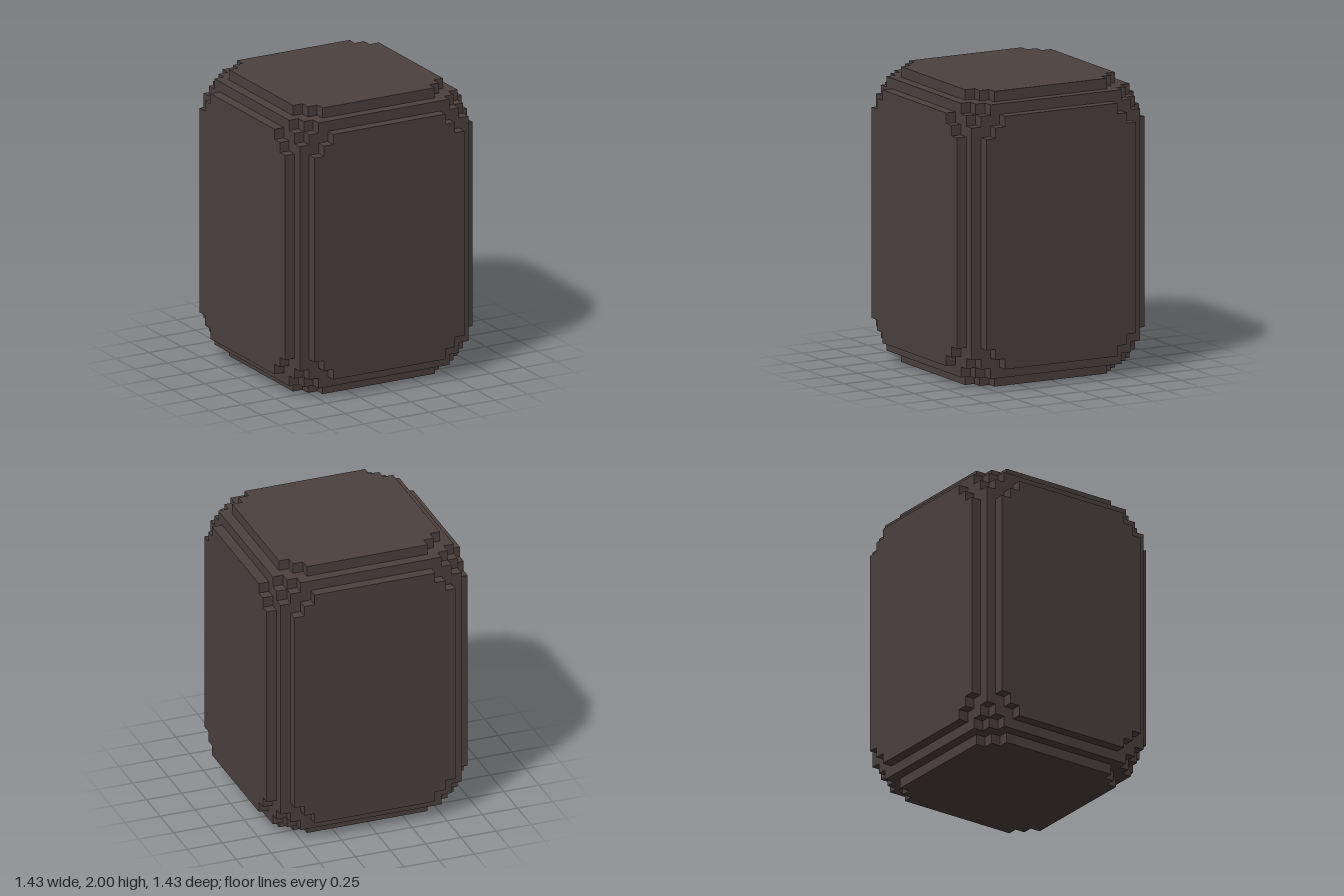
import * as THREE from 'three';

const U = 1 / 14;   // one block
const HALF = 10;    // half width in blocks
const HEIGHT = 28;  // height in blocks

// Stepped corner of each layer, as [inset in x, inset in z] in blocks,
// from the outermost layer inwards.
const CORNERS = [
  [[2, 4], [3, 4], [3, 3], [4, 3], [4, 2]],
  [[1, 3], [2, 3], [2, 2], [3, 2], [3, 1]],
  [[0, 4], [1, 4], [1, 2], [2, 2], [2, 1], [4, 1], [4, 0]],
  [[0, 3], [1, 3], [1, 1], [3, 1], [3, 0]],
  [[0, 2], [1, 2], [1, 1], [2, 1], [2, 0]],
];
const NAMES = ['Panel', 'Rim', 'Shoulder', 'Collar'];

// Outline: the corner turned through four quarters
function outline(corner) {
  const points = [];
  for (let q = 0; q < 4; q++) {
    for (const [a, c] of corner) {
      let x = HALF - a, y = HALF - c;
      for (let i = 0; i < q; i++) [x, y] = [-y, x];
      points.push(new THREE.Vector2(x * U, y * U));
    }
  }
  return new THREE.Shape(points);
}

export function createModel() {
  const group = new THREE.Group();
  group.name = 'steppedBlock';
  const darkBrown = new THREE.MeshStandardMaterial({ color: 0x4b413f });
  darkBrown.name = 'darkBrown';

  function addSlab(name, corner, bottom, height) {
    const geometry = new THREE.ExtrudeGeometry(outline(corner), {
      depth: height * U, bevelEnabled: false,
    });
    geometry.rotateX(-Math.PI / 2);
    geometry.translate(0, bottom * U, 0);
    const mesh = new THREE.Mesh(geometry, darkBrown);
    mesh.name = name;
    group.add(mesh);
  }

  // Thin layers, matching at top and bottom
  NAMES.forEach((name, i) => {
    addSlab('top' + name, CORNERS[i], HEIGHT - 1 - i, 1);
    addSlab('bottom' + name, CORNERS[i], i, 1);
  });
  // Tall middle with the raised side panels
  addSlab('body', CORNERS[4], 4, HEIGHT - 8);
  return group;
}
